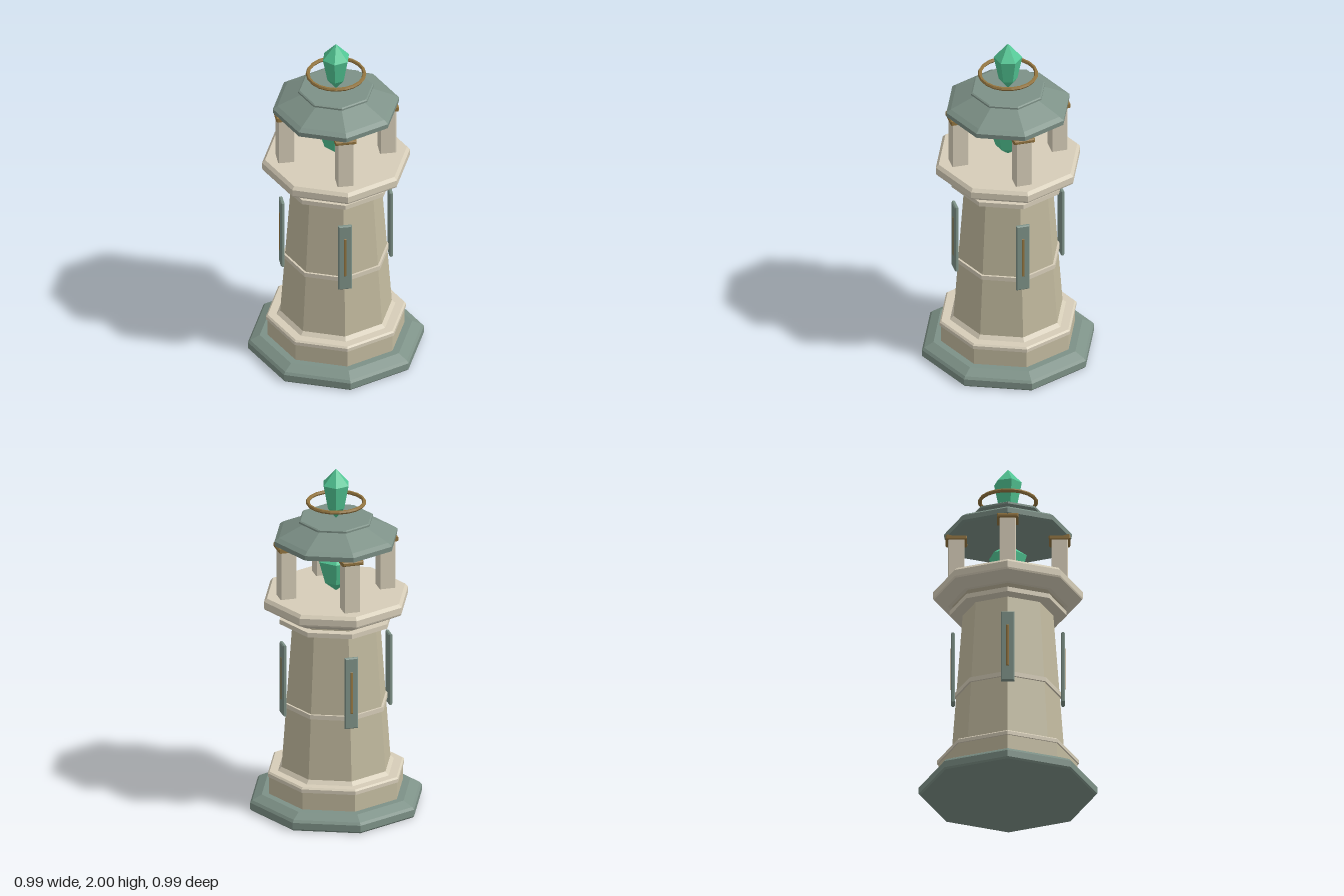
import * as THREE from 'three';

const mat = (color) => new THREE.MeshStandardMaterial({ color, flatShading: true });
const slate = mat(0x7d9187);
const stone = mat(0xc2ba9f);
const trim = mat(0xd6cdb8);
const brass = mat(0x937540);
const crystal = mat(0x52c795);

// Faceted solid of revolution; profile is [radius, height] from bottom to top.
function turned(name, profile, material, sides = 8, phase = 0) {
  const points = profile.map(([r, y]) => new THREE.Vector2(r, y));
  const mesh = new THREE.Mesh(new THREE.LatheGeometry(points, sides, phase), material);
  mesh.name = name;
  return mesh;
}

// Box with chamfered edges, centred on its position.
function chamferBox(name, w, h, d, c, material, y, z) {
  const x = w / 2 - c, t = h / 2 - c;
  const shape = new THREE.Shape([
    new THREE.Vector2(-x, -t), new THREE.Vector2(x, -t),
    new THREE.Vector2(x, t), new THREE.Vector2(-x, t),
  ]);
  const geometry = new THREE.ExtrudeGeometry(shape, {
    depth: d - 2 * c, bevelEnabled: true, bevelSize: c, bevelThickness: c, bevelSegments: 1,
  });
  geometry.translate(0, 0, c - d / 2);
  const mesh = new THREE.Mesh(geometry, material);
  mesh.name = name;
  mesh.position.set(0, y, z);
  return mesh;
}

export function createModel() {
  const tower = new THREE.Group();
  tower.name = 'crystalTower';

  // Foot and plinth
  tower.add(turned('base', [[0, 0], [0.488, 0], [0.497, 0.01], [0.497, 0.048], [0.485, 0.062], [0.43, 0.09], [0, 0.09]], slate));
  tower.add(turned('plinth', [[0, 0.085], [0.387, 0.085], [0.387, 0.2], [0, 0.2]], stone));
  tower.add(turned('plinthCap', [[0, 0.193], [0.395, 0.193], [0.395, 0.213], [0.385, 0.222], [0.335, 0.222], [0.313, 0.245], [0, 0.245]], trim));

  // Tapered shaft with its bands
  tower.add(turned('shaft', [[0, 0.2], [0.318, 0.2], [0.252, 1.11], [0, 1.11]], stone));
  tower.add(turned('shaftBand', [[0.26, 0.6], [0.3, 0.6], [0.3, 0.626], [0.26, 0.626]], trim));
  tower.add(turned('collar', [[0, 1.103], [0.326, 1.103], [0.326, 1.13], [0, 1.13]], trim));
  tower.add(turned('neck', [[0, 1.125], [0.275, 1.125], [0.275, 1.138], [0.325, 1.168], [0, 1.168]], stone));

  // Balcony deck
  tower.add(turned('deck', [[0, 1.16], [0.335, 1.16], [0.413, 1.2], [0.417, 1.21], [0.417, 1.247], [0.4, 1.265], [0, 1.265]], trim));

  // Windows and columns on the four diagonals
  for (let i = 0; i < 4; i++) {
    const side = new THREE.Group();
    side.name = 'diagonalSide';
    side.rotation.y = Math.PI / 4 + (i * Math.PI) / 2;
    side.add(chamferBox('windowPanel', 0.076, 0.424, 0.022, 0.006, slate, 0.772, 0.306));
    side.add(chamferBox('windowSlit', 0.016, 0.25, 0.012, 0.003, brass, 0.775, 0.314));
    side.add(chamferBox('column', 0.092, 0.31, 0.092, 0.004, trim, 1.41, 0.287));
    side.add(chamferBox('columnCapital', 0.12, 0.025, 0.12, 0.006, brass, 1.562, 0.287));
    tower.add(side);
  }

  // Roof and its cap
  tower.add(turned('roof', [[0, 1.567], [0.33, 1.567], [0.354, 1.574], [0.356, 1.602], [0.33, 1.62], [0.185, 1.688], [0, 1.688]], slate));
  tower.add(turned('roofCap', [[0, 1.685], [0.19, 1.685], [0.213, 1.694], [0.213, 1.704], [0.205, 1.709], [0, 1.709]], slate));

  // Crystals
  tower.add(turned('lanternCrystal', [[0, 1.27], [0.07, 1.328], [0.109, 1.46], [0, 1.54]], crystal, 6, Math.PI / 6));
  tower.add(turned('finialCrystal', [[0, 1.705], [0.052, 1.77], [0.08, 1.91], [0, 2]], crystal, 6, Math.PI / 6));

  // Floating ring
  const ring = new THREE.Mesh(new THREE.TorusGeometry(0.158, 0.011, 6, 20), brass);
  ring.name = 'finialRing';
  ring.rotation.x = Math.PI / 2;
  ring.position.y = 1.8;
  tower.add(ring);

  return tower;
}
